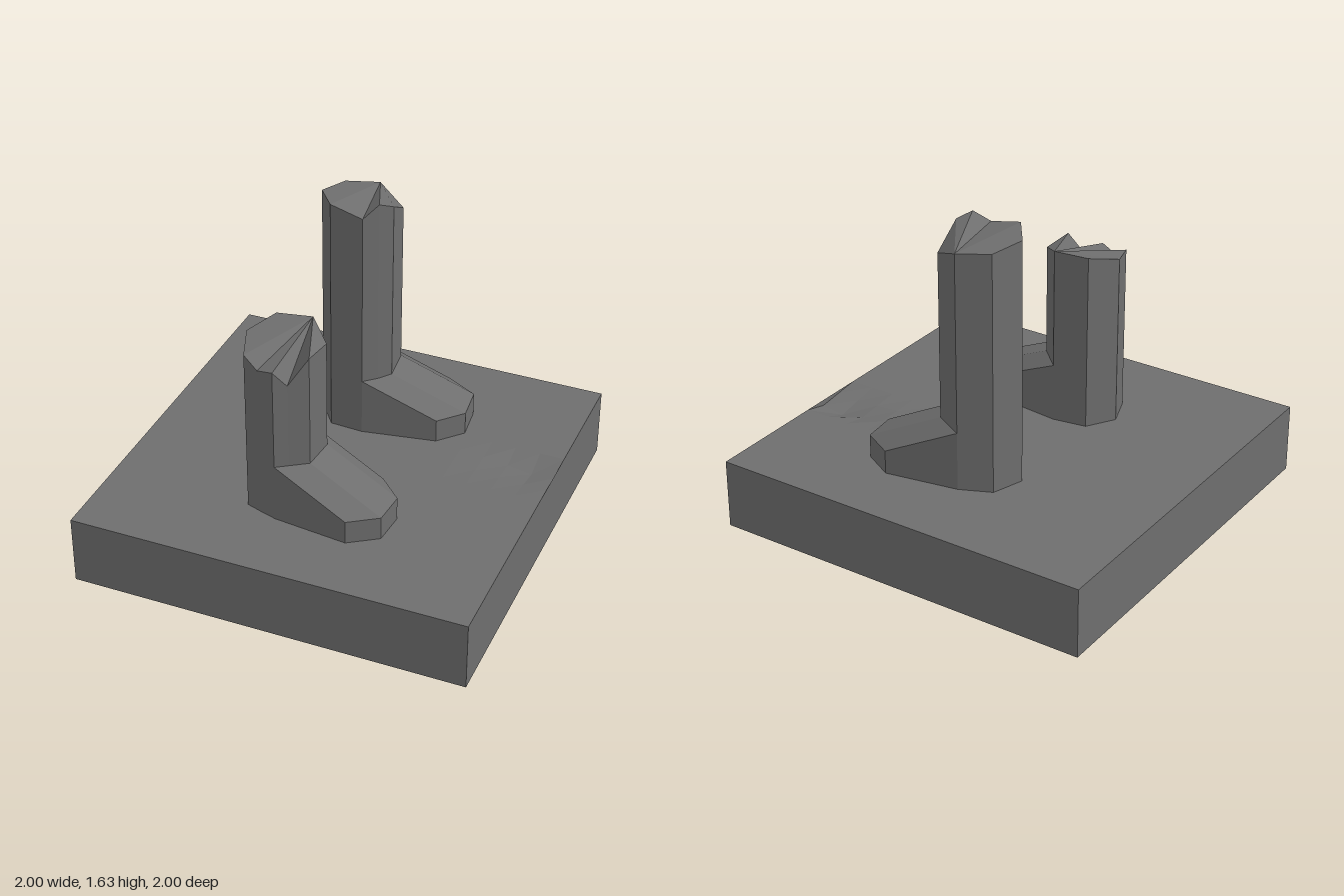
import * as THREE from 'three';

const BASE = 0.355;

// Flat-faced geometry from a list of quads and triangles
function facets(polys) {
  const pos = [];
  for (const p of polys) {
    for (let i = 1; i < p.length - 1; i++) pos.push(...p[0], ...p[i], ...p[i + 1]);
  }
  const g = new THREE.BufferGeometry();
  g.setAttribute('position', new THREE.Float32BufferAttribute(pos, 3));
  g.computeVertexNormals();
  return g;
}

// Upright wall panel between two [x, z, top] points
const wall = (a, b, y0) => [[b[0], y0, b[1]], [a[0], y0, a[1]], [a[0], a[2], a[1]], [b[0], b[2], b[1]]];
const top = (p) => [p[0], p[2], p[1]];

export function createModel() {
  const model = new THREE.Group();
  const stone = new THREE.MeshStandardMaterial({ color: 0x6e6e6e, flatShading: true });
  const openStone = new THREE.MeshStandardMaterial({ color: 0x6e6e6e, flatShading: true, side: THREE.DoubleSide });
  stone.name = 'stone grey';
  openStone.name = 'stone grey two sided';
  const add = (parent, name, geometry, material) => {
    const m = new THREE.Mesh(geometry, material);
    m.name = name;
    parent.add(m);
  };

  // Plinth walls, open underneath
  const c = [[-1, 1, BASE], [-1, -1, BASE], [1, -1, BASE], [1, 1, BASE]];
  add(model, 'plinthSides', facets(c.map((p, i) => wall(p, c[(i + 1) % 4], 0))), openStone);

  // Plinth top, with a shallow chipped hollow by the +x edge
  const slab = new THREE.PlaneGeometry(2, 2, 16, 16).rotateX(-Math.PI / 2);
  const hollow = { '-0.25': [0.008, 0.025, 0.045, 0.03], '-0.125': [0.004, 0.012, 0.02, 0.015] };
  const v = slab.attributes.position;
  for (let i = 0; i < v.count; i++) {
    const row = hollow[String(Math.round(v.getZ(i) * 1000) / 1000)];
    const col = Math.round((v.getX(i) - 0.625) / 0.125);
    v.setY(i, BASE - (row && col >= 0 ? row[col] : 0));
  }
  slab.computeVertexNormals();
  add(model, 'plinthTop', slab, openStone);

  // Broken leg: seven-sided shaft with a ragged rim, and a sloping foot
  function leg(name, rim, dx, dz) {
    const g = new THREE.Group();
    g.name = name;
    const n = rim.length;
    const shaft = rim.map((p, i) => wall(p, rim[(i + 1) % n], BASE));
    add(g, 'shaft', facets(shaft), stone);

    // Fracture surface fanned from the back corner
    const cap = [];
    for (let k = 1; k < n - 1; k++) {
      cap.push([top(rim[2]), top(rim[(3 + k) % n]), top(rim[(2 + k) % n])]);
    }
    add(g, 'brokenTop', facets(cap), stone);

    // Foot: the four leading corners pushed out to the toe
    const ankle = [2, 3, 4, 6].map((i) => [rim[i][0], rim[i][1], 0.655]);
    const toe = ankle.map((p) => [p[0] + dx, p[1] + dz, 0.475]);
    const ring = [ankle[0], ...toe, ankle[3]];
    const foot = [];
    for (let i = 0; i < 5; i++) foot.push(wall(ring[i], ring[i + 1], BASE));
    for (let i = 0; i < 3; i++) foot.push([ankle[i], ankle[i + 1], toe[i + 1], toe[i]].map(top));
    foot.push(toe.map(top).reverse());
    add(g, 'foot', facets(foot), stone);
    model.add(g);
  }

  // Rim points are [x, z, height], running clockwise from the heel
  leg('rearLeg', [
    [-0.283, -0.36, 1.595], [-0.23, -0.524, 1.575], [-0.075, -0.594, 1.565], [0.08, -0.508, 1.5],
    [0.1, -0.33, 1.6], [0.05, -0.27, 1.63], [-0.01, -0.209, 1.57], [-0.18, -0.219, 1.61],
  ], 0.372, -0.066);
  leg('frontLeg', [
    [-0.337, 0.4, 1.23], [-0.25, 0.257, 1.265], [-0.075, 0.23, 1.27], [0.043, 0.348, 1.22],
    [0.03, 0.519, 1.235], [-0.055, 0.576, 1.1], [-0.112, 0.615, 1.18], [-0.2, 0.588, 1.155],
    [-0.278, 0.562, 1.205],
  ], 0.376, 0.043);

  return model;
}
